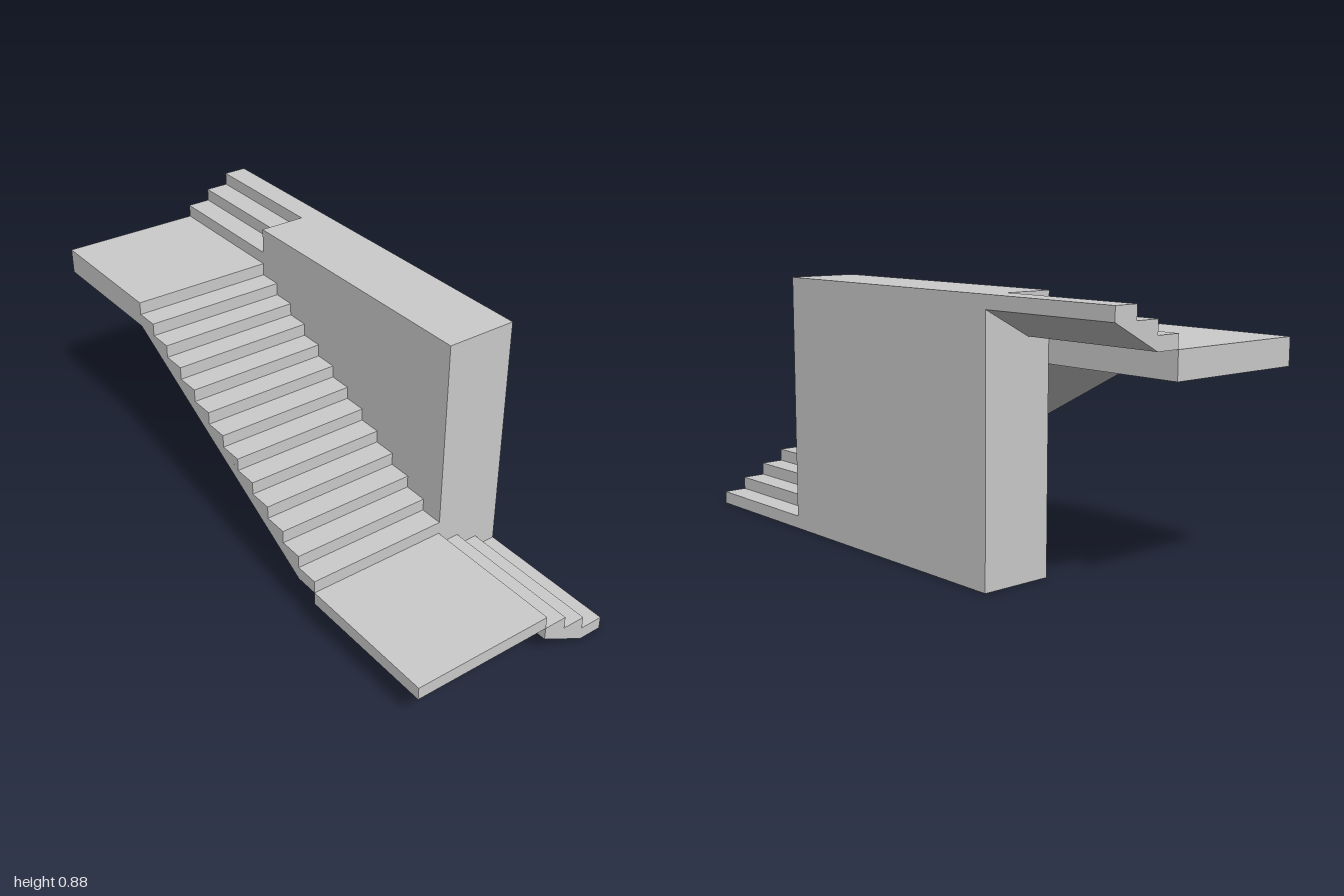
import * as THREE from 'three';

const RISE = 0.0441, RUN = 1 / 12, WIDTH = 0.5;

export function createModel() {
  const model = new THREE.Group();
  model.name = 'staircase';
  const material = new THREE.MeshStandardMaterial({ color: 0xcccccc, flatShading: true });

  function add(name, geometry) {
    const mesh = new THREE.Mesh(geometry, material);
    mesh.name = name;
    model.add(mesh);
    return mesh;
  }

  // Box given by its lower and upper corners
  function block(name, [x0, y0, z0], [x1, y1, z1]) {
    add(name, new THREE.BoxGeometry(x1 - x0, y1 - y0, z1 - z0))
      .position.set((x0 + x1) / 2, (y0 + y1) / 2, (z0 + z1) / 2);
  }

  // Stepped profile with a sloping soffit, rising along local x
  function flight(name, steps, position, angle) {
    const shape = new THREE.Shape();
    shape.moveTo(0, 0);
    shape.lineTo(RUN, 0);
    shape.lineTo(steps * RUN, (steps - 1) * RISE);
    for (let i = steps; i > 0; i--) {
      shape.lineTo(i * RUN, i * RISE);
      shape.lineTo((i - 1) * RUN, i * RISE);
    }
    shape.closePath();
    const mesh = add(name, new THREE.ExtrudeGeometry(shape, { depth: WIDTH, bevelEnabled: false }));
    mesh.position.set(...position);
    mesh.rotation.y = angle;
  }

  // Central wall
  block('wall', [-0.5, 0, -0.375], [0.5, 20 * RISE, -0.125]);

  // Landings
  block('lowerLanding', [0.5, 3 * RISE, -0.125], [1, 4 * RISE, 0.375]);
  block('upperLanding', [-1, 15 * RISE, -0.125], [-0.5, 17 * RISE, 0.375]);

  // Flights: three steps up, twelve along the wall, three to the top
  flight('lowerFlight', 3, [1, 0, -0.375], -Math.PI / 2);
  flight('mainFlight', 12, [0.5, 4 * RISE, 0.375], Math.PI);
  flight('upperFlight', 3, [-1, 17 * RISE, -0.125], Math.PI / 2);

  return model;
}
